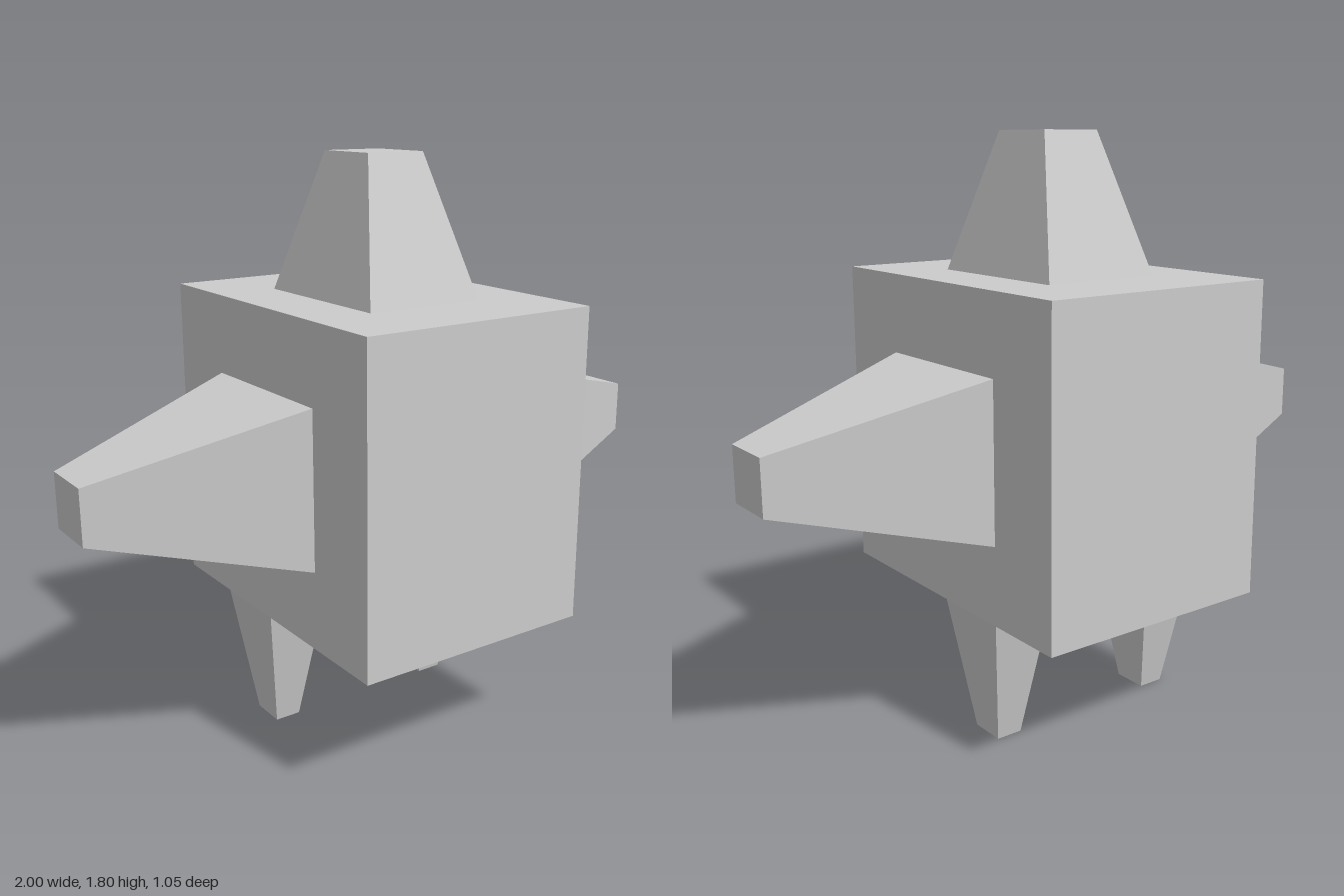
import * as THREE from 'three';

const material = new THREE.MeshStandardMaterial({ color: 0xcccccc, flatShading: true });

// Box running up from y = 0 whose far end tapers to a smaller rectangle
function taperedBox(name, [baseX, baseZ], [tipX, tipZ], length) {
  const geometry = new THREE.BoxGeometry(baseX, length, baseZ);
  geometry.translate(0, length / 2, 0);
  const pos = geometry.attributes.position;
  for (let i = 0; i < pos.count; i++) {
    if (pos.getY(i) > length / 2) {
      pos.setX(i, Math.sign(pos.getX(i)) * tipX / 2);
      pos.setZ(i, Math.sign(pos.getZ(i)) * tipZ / 2);
    }
  }
  geometry.computeVertexNormals();
  const mesh = new THREE.Mesh(geometry, material);
  mesh.name = name;
  return mesh;
}

export function createModel() {
  const model = new THREE.Group();
  model.name = 'blockFigure';
  const bottom = 0.407, top = 1.377, halfWidth = 0.388;

  // Body block
  const body = new THREE.Mesh(new THREE.BoxGeometry(halfWidth * 2, top - bottom, 1.05), material);
  body.name = 'body';
  body.position.y = (top + bottom) / 2;
  model.add(body);

  // Head
  const head = taperedBox('head', [0.388, 0.524], [0.194, 0.224], 1.8 - top);
  head.position.y = top;
  model.add(head);

  for (const side of [1, -1]) {
    const prefix = side > 0 ? 'left' : 'right';

    // Arms pointing straight out
    const arm = taperedBox(prefix + 'Arm', [0.485, 0.524], [0.166, 0.178], 1 - halfWidth);
    arm.rotation.z = -side * Math.PI / 2;
    arm.position.set(side * halfWidth, (top + bottom) / 2, 0);
    model.add(arm);

    // Legs pointing down, set behind the middle
    const leg = taperedBox(prefix + 'Leg', [0.194, 0.262], [0.084, 0.114], bottom);
    leg.rotation.x = Math.PI;
    leg.position.set(side * 0.291, bottom, -0.131);
    model.add(leg);
  }
  return model;
}
